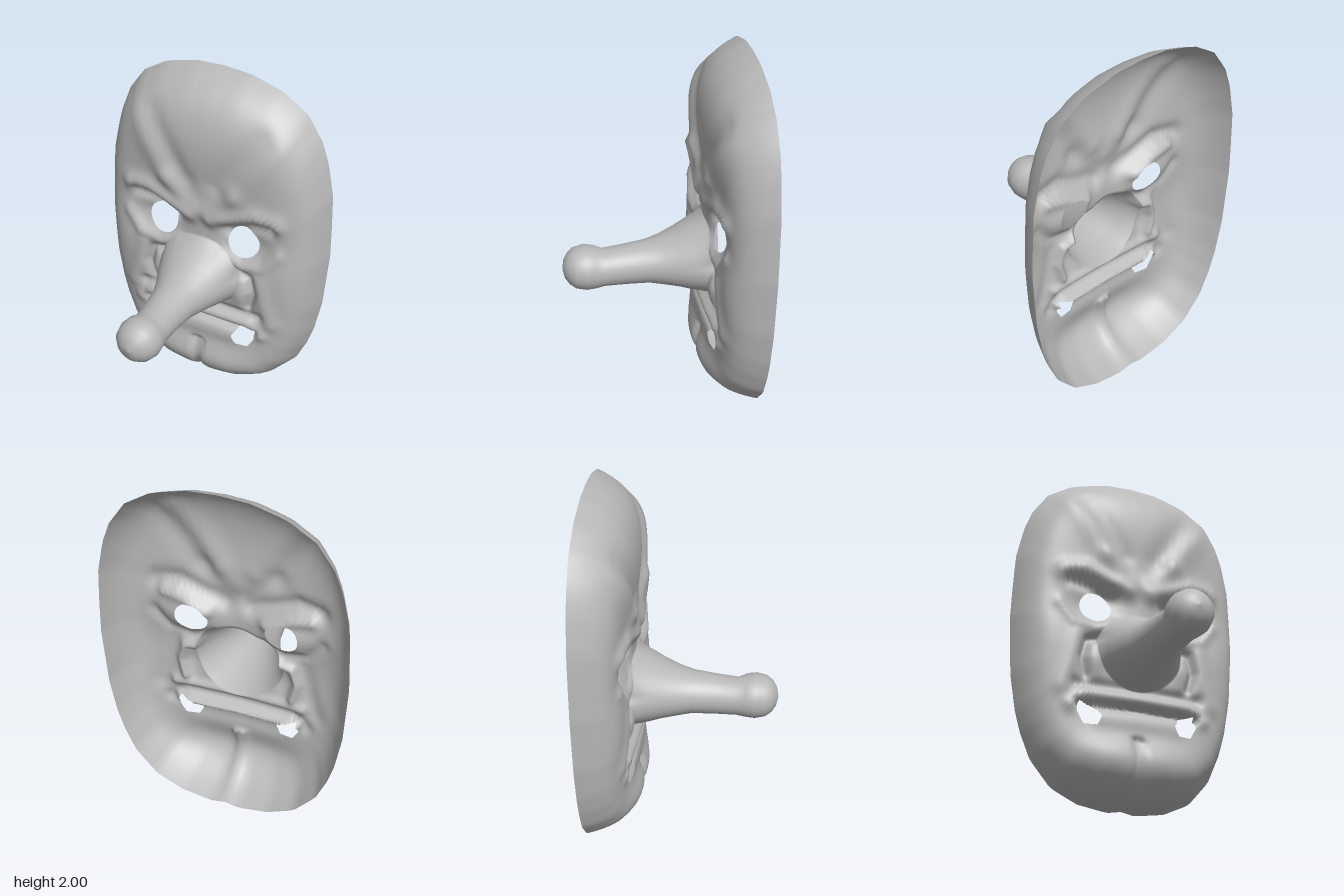
import * as THREE from 'three';
import { mergeVertices } from 'three/addons/utils/BufferGeometryUtils.js';

const COLS = 144, RINGS = 70, CY = 0.82;

// Right half of the rim, top to bottom; the other half is mirrored
const half = [[0, 2], [0.16, 1.99], [0.34, 1.94], [0.48, 1.85], [0.57, 1.72], [0.615, 1.6], [0.655, 1.41],
  [0.665, 1.2], [0.67, 1.03], [0.65, 0.7], [0.615, 0.5], [0.58, 0.38], [0.52, 0.24], [0.4, 0.1],
  [0.25, 0.03], [0.08, 0.003], [0, 0.018]];

// Distance from the centre to the rim along an angle
function rimRadius(angle) {
  const dx = Math.abs(Math.cos(angle)), dy = Math.sin(angle);
  for (let i = 0; i < half.length - 1; i++) {
    const [ax, ay] = half[i], [bx, by] = half[i + 1];
    const ex = bx - ax, ey = by - ay, det = dx * ey - dy * ex;
    const r = (ax * ey - (ay - CY) * ex) / det;
    const s = (ax * dy - (ay - CY) * dx) / det;
    if (r > 0 && s >= -1e-6 && s <= 1 + 1e-6) return r;
  }
  return 0.8;
}

// Soft ridge (or groove, when height is negative) along a polyline
function ridge(x, y, pts, width, height) {
  let d = Infinity;
  for (let i = 0; i < pts.length - 1; i++) {
    const [ax, ay] = pts[i], ex = pts[i + 1][0] - ax, ey = pts[i + 1][1] - ay;
    const s = THREE.MathUtils.clamp(((x - ax) * ex + (y - ay) * ey) / (ex * ex + ey * ey), 0, 1);
    d = Math.min(d, Math.hypot(x - ax - s * ex, y - ay - s * ey));
  }
  return height * Math.exp(-((d / width) ** 2));
}
const bump = (x, y, cx, cy, wx, wy, h) => h * Math.exp(-(((x - cx) / wx) ** 2) - ((y - cy) / wy) ** 2);

// Each entry: path, width, height
const ridges = [
  [[[0, 1.24], [0.1, 1.28], [0.2, 1.4]], 0.055, 0.02],                    // frown
  [[[0.2, 1.4], [0.3, 1.55], [0.42, 1.72]], 0.07, 0.02],                  // forehead fold
  [[[0.1, 1.42], [0.2, 1.58], [0.32, 1.75]], 0.06, -0.02],                // groove beside it
  [[[0.07, 1.2], [0.2, 1.25], [0.32, 1.3], [0.45, 1.28]], 0.045, 0.032],  // brow
  [[[0.16, 1.15], [0.28, 1.21], [0.4, 1.23]], 0.035, -0.035],             // upper lid crease
  [[[0.14, 1.0], [0.25, 0.955], [0.38, 0.98], [0.46, 1.08]], 0.035, 0.022], // lower lid
  [[[0.22, 0.9], [0.3, 0.88], [0.325, 0.78], [0.3, 0.68]], 0.025, -0.035], // nostril groove
  [[[0.36, 0.9], [0.39, 0.75], [0.44, 0.6]], 0.05, 0.018],                // cheek fold
  [[[-0.01, 0.63], [0.36, 0.625]], 0.028, -0.025],                        // under the nose
  [[[-0.01, 0.57], [0.3, 0.57], [0.39, 0.5]], 0.035, 0.022],              // upper lip
  [[[-0.01, 0.515], [0.34, 0.51]], 0.022, -0.045],                        // mouth line
  [[[-0.01, 0.44], [0.22, 0.44]], 0.05, 0.012],                           // lower lip
  [[[0, -0.05], [0, 0.2], [0.015, 0.34]], 0.018, -0.03],                  // chin cleft
];

// Depth of the mask face
function faceZ(px, y) {
  const x = Math.abs(px);
  const t = Math.min(1, Math.hypot(x, y - CY) / rimRadius(Math.atan2(y - CY, x)));
  let z = -0.265 - 0.035 * (x / 0.6) ** 2;
  z += bump(x, y, 0, 1.62, 0.5, 0.26, 0.03);        // forehead
  z += bump(x, y, 0.27, 1.1, 0.15, 0.1, -0.05);     // eye socket
  z += bump(x, y, 0.48, 0.88, 0.13, 0.2, 0.018);    // cheek
  z += bump(x, y, 0.25, 0.77, 0.06, 0.09, 0.025);   // nostril
  z += bump(x, y, 0.12, 0.22, 0.26, 0.12, 0.045);   // chin
  for (const r of ridges) z += ridge(x, y, ...r);
  return THREE.MathUtils.lerp(z, -0.5, t ** 12);
}

// Signed distance to the openings: positive means solid
const mouthHole = [[0.333, 0.53], [0.25, 0.512], [0.21, 0.45], [0.235, 0.4], [0.31, 0.4], [0.345, 0.465]];
function solid(p) {
  const x = Math.abs(p.x);
  const eye = Math.hypot(x - 0.247, p.y - 1.092) - 0.09;
  let mouth = -Infinity;
  mouthHole.forEach(([ax, ay], i) => {
    const [bx, by] = mouthHole[(i + 1) % mouthHole.length];
    const ex = bx - ax, ey = by - ay;
    mouth = Math.max(mouth, ((x - ax) * ey - (p.y - ay) * ex) / Math.hypot(ex, ey));
  });
  return Math.min(eye, mouth);
}

// Add a triangle, cutting away whatever lies in an opening
function addClipped(out, tri) {
  const poly = [];
  tri.forEach((a, i) => {
    const b = tri[(i + 1) % 3], fa = solid(a), fb = solid(b);
    if (fa >= 0) poly.push(a);
    if (fa * fb < 0) poly.push(a.clone().lerp(b, fa / (fa - fb)));
  });
  for (let i = 1; i < poly.length - 1; i++) out.push(poly[0], poly[i], poly[i + 1]);
}

// Long nose sections, tip to root: z, half width, bottom y, top y
const sections = [[0.5, 0.001, 0.814, 0.816], [0.49, 0.05, 0.765, 0.865], [0.468, 0.085, 0.73, 0.9],
  [0.435, 0.112, 0.704, 0.926], [0.38, 0.125, 0.691, 0.937], [0.33, 0.118, 0.693, 0.93], [0.28, 0.104, 0.7, 0.906],
  [0.16, 0.11, 0.7, 0.918], [0.04, 0.125, 0.699, 0.932], [-0.04, 0.152, 0.685, 0.953],
  [-0.12, 0.186, 0.67, 0.985], [-0.19, 0.216, 0.65, 1.022]];
const rootWidth = 0.24, rootBottom = 0.63, rootTop = 1.06;

function ring(fn) {
  return Array.from({ length: COLS + 1 }, (_, j) => fn(((j % COLS) / COLS) * Math.PI * 2));
}
const oval = (a, w, lo, hi) => [w * Math.cos(a), (lo + hi) / 2 + ((hi - lo) / 2) * Math.sin(a)];

function skin(rings, add) {
  for (let i = 0; i < rings.length - 1; i++) {
    for (let j = 0; j < COLS; j++) {
      const a = rings[i][j], b = rings[i + 1][j], c = rings[i + 1][j + 1], d = rings[i][j + 1];
      add([a, b, c]);
      add([a, c, d]);
    }
  }
}

export function createModel() {
  const group = new THREE.Group();
  group.name = 'mask';
  const grey = new THREE.MeshStandardMaterial({ color: 0xb8b8b8, side: THREE.DoubleSide });
  grey.name = 'plain grey';

  // Face rings run from the nose root out to the rim
  const faceRings = [];
  for (let i = 0; i <= RINGS; i++) {
    const s = 1 - (1 - i / RINGS) ** 1.25;
    faceRings.push(ring((a) => {
      const [bx, by] = oval(a, rootWidth, rootBottom, rootTop), r = rimRadius(a);
      const x = THREE.MathUtils.lerp(bx, r * Math.cos(a), s);
      const y = THREE.MathUtils.lerp(by, CY + r * Math.sin(a), s);
      return new THREE.Vector3(x, y, faceZ(x, y));
    }));
  }
  const noseRings = sections.map(([z, w, lo, hi]) => ring((a) => new THREE.Vector3(...oval(a, w, lo, hi), z)));
  noseRings.push(faceRings[0]);

  // Nose and face share vertices, so shading flows across the join
  const points = [];
  skin(noseRings, (tri) => points.push(...tri));
  const noseCount = points.length;
  skin(faceRings, (tri) => addClipped(points, tri));
  const whole = mergeVertices(new THREE.BufferGeometry().setFromPoints(points), 1e-5);
  whole.computeVertexNormals();

  const index = Array.from(whole.index.array);
  const parts = { nose: index.slice(0, noseCount), face: index.slice(noseCount) };
  for (const [name, partIndex] of Object.entries(parts)) {
    const geometry = new THREE.BufferGeometry();
    geometry.setAttribute('position', whole.attributes.position);
    geometry.setAttribute('normal', whole.attributes.normal);
    geometry.setIndex(partIndex);
    const mesh = new THREE.Mesh(geometry, grey);
    mesh.name = name;
    group.add(mesh);
  }
  return group;
}
